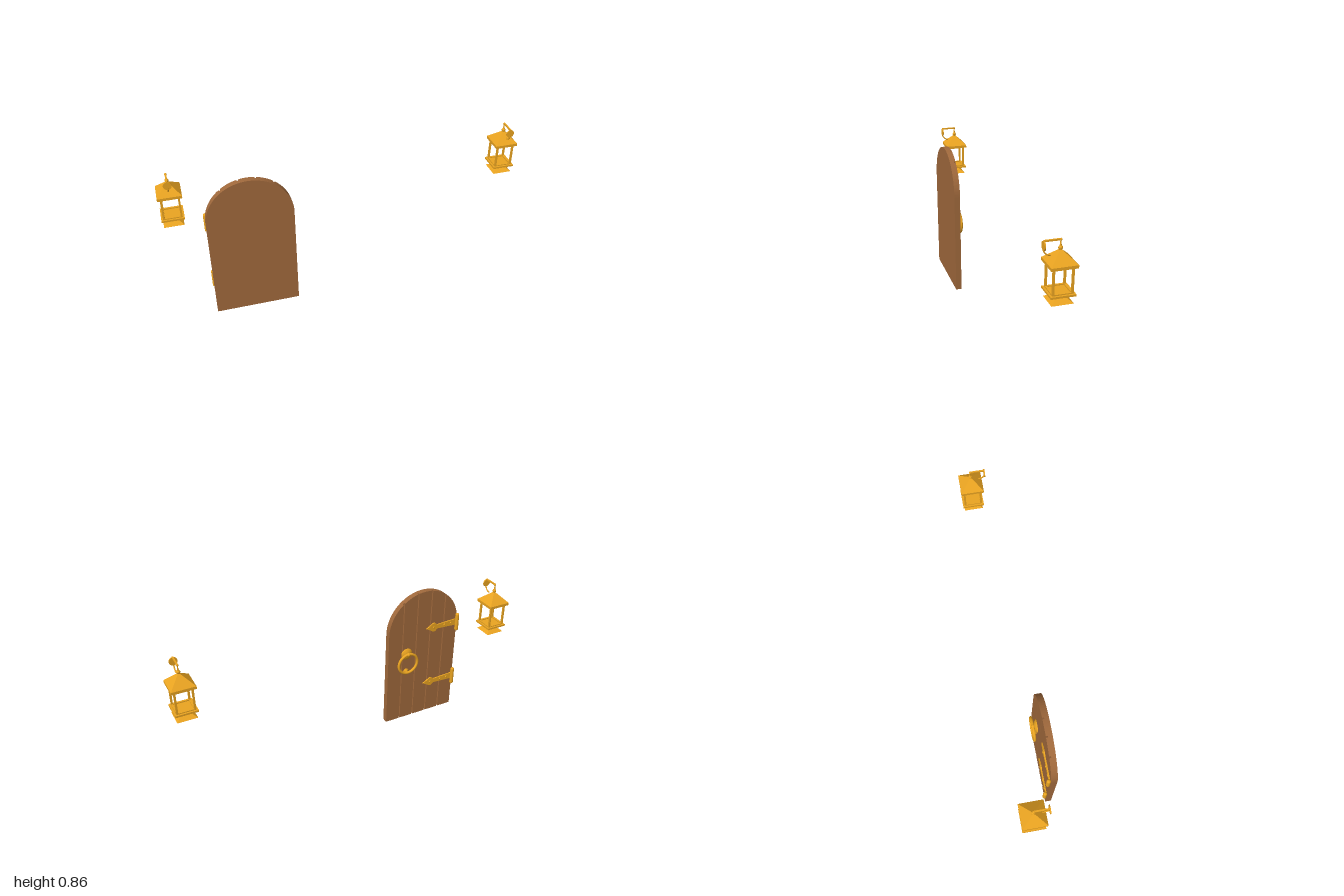
import * as THREE from 'three';

const wood = new THREE.MeshStandardMaterial({ color: 0xa0693c });
const brass = new THREE.MeshStandardMaterial({ color: 0xeaa421 });
const brassFlat = new THREE.MeshStandardMaterial({ color: 0xeaa421, flatShading: true });

function add(parent, name, geometry, material, x = 0, y = 0, z = 0) {
  const mesh = new THREE.Mesh(geometry, material);
  mesh.name = name;
  mesh.position.set(x, y, z);
  parent.add(mesh);
  return mesh;
}

const box = (w, h, d) => new THREE.BoxGeometry(w, h, d);
const ball = (r) => new THREE.SphereGeometry(r, 20, 14);

// Square pyramid with sides parallel to the axes
function pyramid(topHalf, bottomHalf, height) {
  const k = Math.SQRT2;
  return new THREE.CylinderGeometry(topHalf * k, bottomHalf * k, height, 4).rotateY(Math.PI / 4);
}

// Disc whose profile is turned around z, domed towards -z
function turnedDisc(profile) {
  const points = profile.map(([r, h]) => new THREE.Vector2(r, h));
  return new THREE.LatheGeometry(points, 32).rotateX(-Math.PI / 2);
}

const HALF = 0.2325, SPRING = 0.6075;
const BACK = 0.079, GROOVE = 0.089, FRONT = 0.113;

// Vertical slice of the arched door outline between x0 and x1
function archSlice(x0, x1, depth) {
  const shape = new THREE.Shape();
  shape.moveTo(x0, 0);
  shape.lineTo(x1, 0);
  const a0 = Math.acos(x1 / HALF), a1 = Math.acos(x0 / HALF), steps = 40;
  for (let i = 0; i <= steps; i++) {
    const a = a0 + (a1 - a0) * i / steps;
    shape.lineTo(HALF * Math.cos(a), SPRING + HALF * Math.sin(a));
  }
  return new THREE.ExtrudeGeometry(shape, { depth, bevelEnabled: false });
}

// Strap hinge with a leaf-shaped tip and an upright knuckle
function createHinge(y) {
  const hinge = new THREE.Group();
  hinge.name = 'hinge';
  hinge.position.set(-HALF + 0.005, y, 0);

  const strap = new THREE.Shape();
  strap.moveTo(0, -0.02);
  strap.lineTo(0.135, -0.013);
  strap.quadraticCurveTo(0.15, -0.034, 0.167, -0.026);
  strap.quadraticCurveTo(0.185, -0.012, 0.21, 0);
  strap.quadraticCurveTo(0.185, 0.012, 0.167, 0.026);
  strap.quadraticCurveTo(0.15, 0.034, 0.135, 0.013);
  strap.lineTo(0, 0.02);
  add(hinge, 'hingeStrap', new THREE.ExtrudeGeometry(strap, { depth: 0.008, bevelEnabled: false }),
    brass, 0, 0, BACK - 0.007);
  for (const x of [0.04, 0.085, 0.16]) {
    const rivet = add(hinge, 'hingeRivet', ball(0.007), brass, x, 0, BACK - 0.007);
    rivet.scale.z = 0.6;
  }
  add(hinge, 'hingeKnuckle', new THREE.CapsuleGeometry(0.0115, 0.093, 6, 16), brass, 0, 0, 0.068);
  return hinge;
}

// Pull ring with a round plate above and a small stud below
function createHandle() {
  const handle = new THREE.Group();
  handle.name = 'ringHandle';
  handle.position.set(0.109, 0, 0);
  const plate = [[0, 0.016], [0.014, 0.016], [0.021, 0.011], [0.027, 0.01],
    [0.03, 0.006], [0.036, 0.005], [0.036, -0.001]].reverse();
  add(handle, 'handlePlate', turnedDisc(plate), brass, 0, 0.457, BACK);
  const pivot = add(handle, 'ringPivot', new THREE.CylinderGeometry(0.008, 0.008, 0.02, 16),
    brass, 0, 0.463, 0.06);
  pivot.rotation.x = Math.PI / 2;
  add(handle, 'pivotKnob', ball(0.011), brass, 0, 0.463, 0.057);
  add(handle, 'pullRing', new THREE.TorusGeometry(0.063, 0.008, 14, 48), brass, 0, 0.401, 0.057);
  const stud = [[0.017, -0.001], [0.017, 0.004], [0.009, 0.006], [0.007, 0.012], [0, 0.014]];
  add(handle, 'strikeStud', turnedDisc(stud), brass, 0, 0.338, BACK);
  return handle;
}

function createDoor() {
  const door = new THREE.Group();
  door.name = 'door';
  door.position.x = -0.5475;
  add(door, 'doorPanel', archSlice(-HALF, HALF, FRONT - GROOVE), wood, 0, 0, GROOVE);

  // Planks separated by narrow grooves
  const count = 5, gap = 0.008, pitch = 2 * HALF / count;
  for (let i = 0; i < count; i++) {
    const x0 = -HALF + i * pitch + (i > 0 ? gap / 2 : 0);
    const x1 = -HALF + (i + 1) * pitch - (i < count - 1 ? gap / 2 : 0);
    add(door, 'plank', archSlice(x0, x1, GROOVE - BACK), wood, 0, 0, BACK);
  }
  door.add(createHinge(0.594), createHinge(0.212), createHandle());
  return door;
}

function createLantern(x) {
  const lantern = new THREE.Group();
  lantern.name = 'lantern';
  lantern.position.set(x, 0, -0.0465);

  // Roof and cage
  add(lantern, 'roof', pyramid(0.003, 0.0635, 0.058), brassFlat, 0, 0.777, 0);
  add(lantern, 'roofRim', box(0.127, 0.015, 0.127), brass, 0, 0.7405, 0);
  const post = 0.0455;
  for (const sx of [-1, 1]) {
    for (const sz of [-1, 1]) {
      add(lantern, 'post', box(0.01, 0.13, 0.01), brass, sx * post, 0.669, sz * post);
    }
    for (const y of [0.7305, 0.6085]) {
      add(lantern, 'sideRail', box(0.01, 0.006, 0.091), brass, sx * post, y, 0);
      add(lantern, 'crossRail', box(0.091, 0.006, 0.01), brass, 0, y, sx * post);
    }
  }

  // Base and lower finial
  add(lantern, 'base', box(0.12, 0.01, 0.12), brass, 0, 0.601, 0);
  add(lantern, 'lowerCone', pyramid(0.003, 0.053, 0.039), brassFlat, 0, 0.577, 0);
  add(lantern, 'lowerFinial', ball(0.0095), brass, 0, 0.552, 0);

  // Hanger
  add(lantern, 'topFinial', ball(0.0105), brass, 0, 0.813, 0);
  add(lantern, 'hangerRod', new THREE.CylinderGeometry(0.002, 0.005, 0.03, 12), brass, 0, 0.835, 0);
  add(lantern, 'armKnob', ball(0.0065), brass, 0, 0.851, 0);

  // Wall bracket: arm, round plate and curled brace
  add(lantern, 'bracketArm', box(0.008, 0.008, 0.08), brass, 0, 0.852, 0.0395);
  const plate = add(lantern, 'wallPlate', new THREE.CylinderGeometry(0.022, 0.022, 0.006, 28),
    brass, 0, 0.83, 0.078);
  plate.rotation.x = Math.PI / 2;
  const curl = new THREE.CatmullRomCurve3([[0.82, 0.079], [0.806, 0.078], [0.793, 0.07],
    [0.785, 0.059], [0.783, 0.047]].map(([y, z]) => new THREE.Vector3(0, y, z)));
  add(lantern, 'bracketCurl', new THREE.TubeGeometry(curl, 24, 0.0035, 10), brass);
  add(lantern, 'curlTip', ball(0.0038), brass, 0, 0.783, 0.047);
  return lantern;
}

export function createModel() {
  const model = new THREE.Group();
  model.name = 'doorWithLanterns';
  model.add(createDoor(), createLantern(-0.9365), createLantern(0.9365));
  return model;
}
